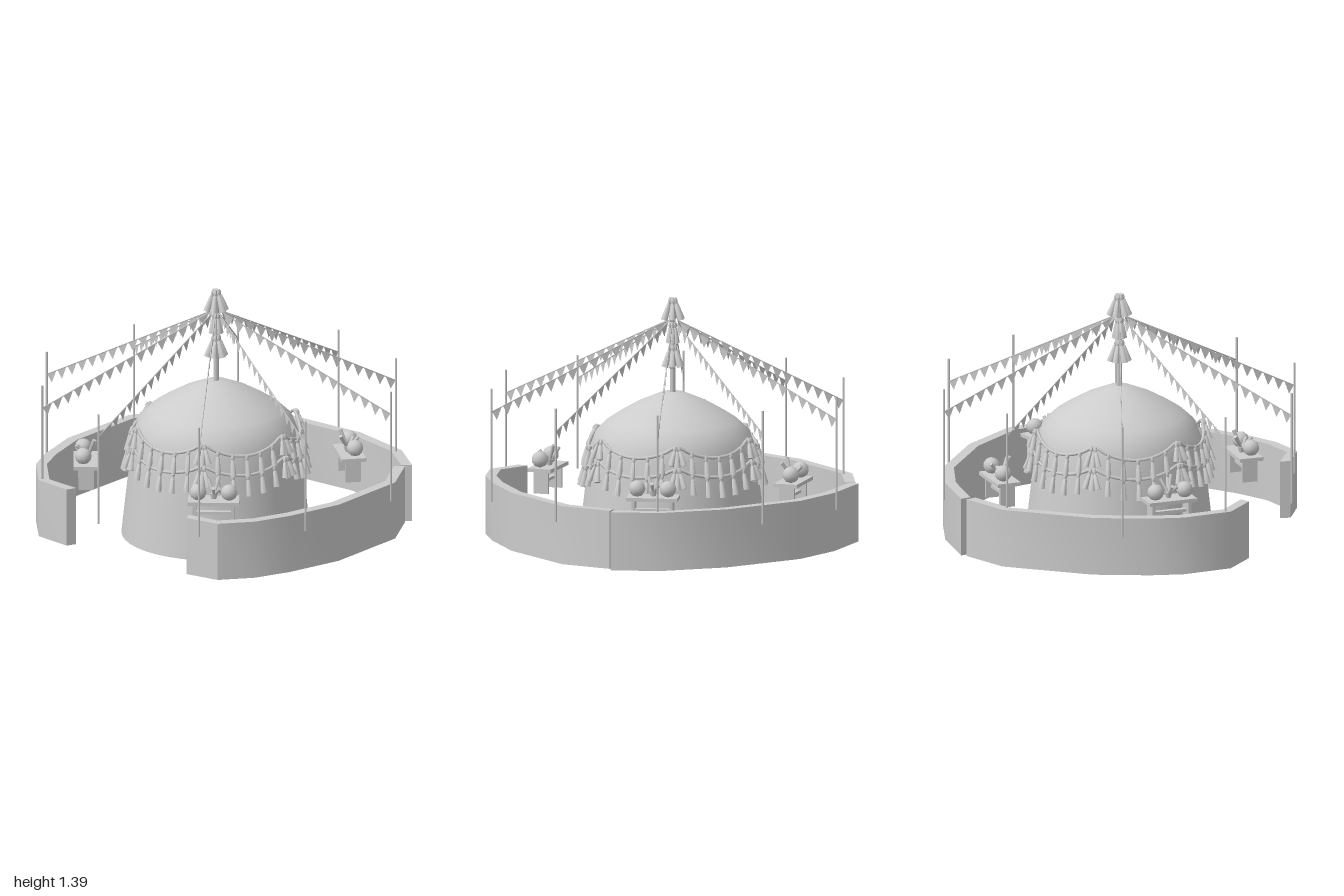
import * as THREE from 'three';
import { toCreasedNormals } from 'three/addons/utils/BufferGeometryUtils.js';

const V = (x, y, z) => new THREE.Vector3(x, y, z);
const grey = new THREE.MeshStandardMaterial({ color: 0xcccccc });
const thin = new THREE.MeshStandardMaterial({ color: 0xcccccc, side: THREE.DoubleSide });
const CX = -0.018; // the tent sits slightly off the centre line

function add(parent, name, geometry, x = 0, y = 0, z = 0, material = grey) {
  const mesh = new THREE.Mesh(geometry, material);
  mesh.name = name;
  mesh.position.set(x, y, z);
  parent.add(mesh);
  return mesh;
}

function group(parent, name, x = 0, y = 0, z = 0) {
  const g = new THREE.Group();
  g.name = name;
  g.position.set(x, y, z);
  parent.add(g);
  return g;
}

// Straight rod between two points
function rod(parent, name, a, b, r0, r1 = r0, sides = 6) {
  const geometry = new THREE.CylinderGeometry(r1, r0, a.distanceTo(b), sides);
  const mesh = add(parent, name, geometry);
  mesh.position.copy(a).add(b).multiplyScalar(0.5);
  mesh.quaternion.setFromUnitVectors(V(0, 1, 0), b.clone().sub(a).normalize());
  return mesh;
}

// Tassel hanging from its origin: knot, neck and flared skirt
const tasselGeometry = toCreasedNormals(new THREE.LatheGeometry(
  [[0, -0.12], [0.019, -0.12], [0.011, -0.032], [0.007, -0.026], [0.012, -0.012], [0.009, 0.005], [0, 0.008]]
    .map(([r, y]) => new THREE.Vector2(r, y)), 8), 0.9);

// Hang a tassel on a ring at angle a, swung outward by tilt and sideways by lean
function tassel(parent, a, r, y, tilt, size = 1, lean = 0) {
  const m = add(parent, 'tassel', tasselGeometry, r * Math.sin(a), y, r * Math.cos(a));
  m.rotation.set(-tilt, a, lean, 'YXZ');
  m.scale.setScalar(size);
}

// Swagged cord with six peaks and hanging tassels
function garland(parent, name, radius, peak, sag, perSwag, size) {
  const g = group(parent, name);
  const height = a => {
    const t = ((a - Math.PI / 6) / (Math.PI / 3) % 1 + 1) % 1;
    return peak - sag * 4 * t * (1 - t);
  };
  const points = [];
  for (let i = 0; i < 48; i++) {
    const a = Math.PI / 6 + i / 48 * Math.PI * 2;
    points.push(V(radius * Math.sin(a), height(a), radius * Math.cos(a)));
  }
  const path = new THREE.CatmullRomCurve3(points, true);
  add(g, 'cord', new THREE.TubeGeometry(path, 96, 0.009, 6, true));
  for (let i = 0; i < 6 * perSwag; i++) {
    const a = Math.PI / 6 + i / (6 * perSwag) * Math.PI * 2;
    tassel(g, a, radius + 0.005, height(a), 0.2, size);
    // Fuller bunch at every peak
    if (i % perSwag === 0) for (const s of [-1, 1]) {
      tassel(g, a + s * 0.02, radius + 0.012, height(a), 0.25, size * 0.95, s * 0.25);
    }
  }
}

// Curved wall section following outer [x, z] points
function wall(parent, name, outer) {
  const inner = outer.map(([x, z]) => {
    const k = 1 - 0.06 / Math.hypot(x, z);
    return [x * k, z * k];
  });
  const shape = new THREE.Shape([...outer, ...inner.reverse()].map(([x, z]) => new THREE.Vector2(x, -z)));
  const geometry = new THREE.ExtrudeGeometry(shape, { depth: 0.322, bevelEnabled: false });
  geometry.rotateX(-Math.PI / 2);
  add(parent, name, toCreasedNormals(geometry, 0.7), 0, 0.063, 0);
}

// Row of triangular flags hanging from a line
function bunting(parent, from, to, count) {
  rod(parent, 'buntingLine', from, to, 0.003, 0.003, 5);
  const corners = [];
  for (let i = 0; i < count; i++) {
    const a = from.clone().lerp(to, (i + 0.05) / count);
    const b = from.clone().lerp(to, (i + 0.95) / count);
    const tip = a.clone().add(b).multiplyScalar(0.5);
    tip.y -= 0.06;
    corners.push(a, tip, b);
  }
  const geometry = new THREE.BufferGeometry().setFromPoints(corners);
  geometry.computeVertexNormals();
  add(parent, 'flags', geometry, 0, 0, 0, thin);
}

// Small table with round fruit and a bundle of pegs
function table(parent, x, z) {
  const g = group(parent, 'offeringTable', x, 0, z);
  g.rotation.y = Math.atan2(x, z);
  add(g, 'tableTop', new THREE.BoxGeometry(0.28, 0.02, 0.135), 0, 0.412, 0);
  for (const s of [-1, 1]) {
    add(g, 'tableLeg', new THREE.BoxGeometry(0.018, 0.122, 0.085), s * 0.105, 0.341, 0);
    const fruit = new THREE.IcosahedronGeometry(0.046, 1);
    add(g, 'fruit', fruit, s * 0.085, 0.466, 0.015);
  }
  add(g, 'tableStretcher', new THREE.BoxGeometry(0.2, 0.016, 0.03), 0, 0.345, 0);
  add(g, 'bundleBase', new THREE.CylinderGeometry(0.022, 0.014, 0.03, 8), 0, 0.437, -0.01);
  for (const [px, py, pz] of [[-0.03, 0.52, -0.055], [0.03, 0.54, -0.045], [0, 0.5, 0.05], [0.035, 0.49, 0.03]]) {
    rod(g, 'peg', V(0, 0.44, -0.01), V(px, py, pz), 0.007, 0.011);
  }
}

export function createModel() {
  const model = new THREE.Group();
  model.name = 'festivalTent';

  // Domed tent, open underneath
  const tent = group(model, 'tent', CX, 0, 0);
  const profile = [[0.517, 0], [0.495, 0.2], [0.47, 0.42], [0.455, 0.56], [0.42, 0.655], [0.36, 0.712],
    [0.29, 0.758], [0.19, 0.815], [0.065, 0.868], [0, 0.871]];
  add(tent, 'tentShell', new THREE.LatheGeometry(profile.map(p => new THREE.Vector2(...p)), 40), 0, 0, 0, thin);
  garland(tent, 'upperGarland', 0.46, 0.645, 0.07, 6, 0.92);
  garland(tent, 'lowerGarland', 0.478, 0.525, 0.055, 6, 0.95);

  // Centre pole with tiers of tassels
  rod(tent, 'centrePole', V(0, 0.08, 0), V(0, 1.385, 0), 0.015, 0.015, 8);
  for (const s of [-1, 1]) {
    rod(tent, 'poleCrossbar', V(-0.08, 0.23, -0.05 * s), V(0.08, 0.23, 0.05 * s), 0.008);
  }
  const tiers = [[1.385, 0.33, 1], [1.25, 0.1, 0.9], [1.125, 0.3, 1]];
  for (const [y, tilt, size] of tiers) {
    const tier = group(tent, 'poleTassels');
    for (let i = 0; i < 6; i++) tassel(tier, i / 6 * Math.PI * 2 + 0.4, 0.014, y, tilt, size);
  }

  // Outer poles, each tied to the centre pole by a line of flags
  const poles = [[0.04, -0.994], [0.6, -0.8], [0.95, -0.32], [0.915, 0.38], [0.53, 0.83],
    [-0.042, 0.994], [-0.6, 0.79], [-0.955, 0.31], [-0.89, -0.37], [-0.54, -0.84]];
  for (const [x, z] of poles) {
    const g = group(model, 'flagPole');
    rod(g, 'pole', V(x, 0.292, z), V(x, 0.92, z), 0.006);
    bunting(g, V(CX + (x - CX) * 0.04, 1.26, z * 0.04), V(x, 0.792, z), 16);
  }

  // Surrounding wall in three sections with an opening at the front
  wall(model, 'rightWall', [[-0.8, -0.63], [-0.94, -0.38], [-0.945, 0.14], [-0.865, 0.44],
    [-0.79, 0.61], [-0.6, 0.82], [-0.378, 0.855]]);
  wall(model, 'backWall', [[-0.8, -0.66], [-0.53, -0.836], [-0.24, -0.94], [0.24, -0.94],
    [0.61, -0.836], [0.82, -0.667]]);
  wall(model, 'leftWall', [[0.8, -0.63], [0.94, -0.37], [0.948, 0.13], [0.865, 0.45],
    [0.78, 0.65], [0.645, 0.81], [0.447, 0.835]]);

  // Tables around the tent
  for (const [x, z] of [[-0.445, -0.55], [0.47, -0.555], [-0.563, 0.455], [0.425, 0.57]]) table(model, x, z);

  return model;
}
